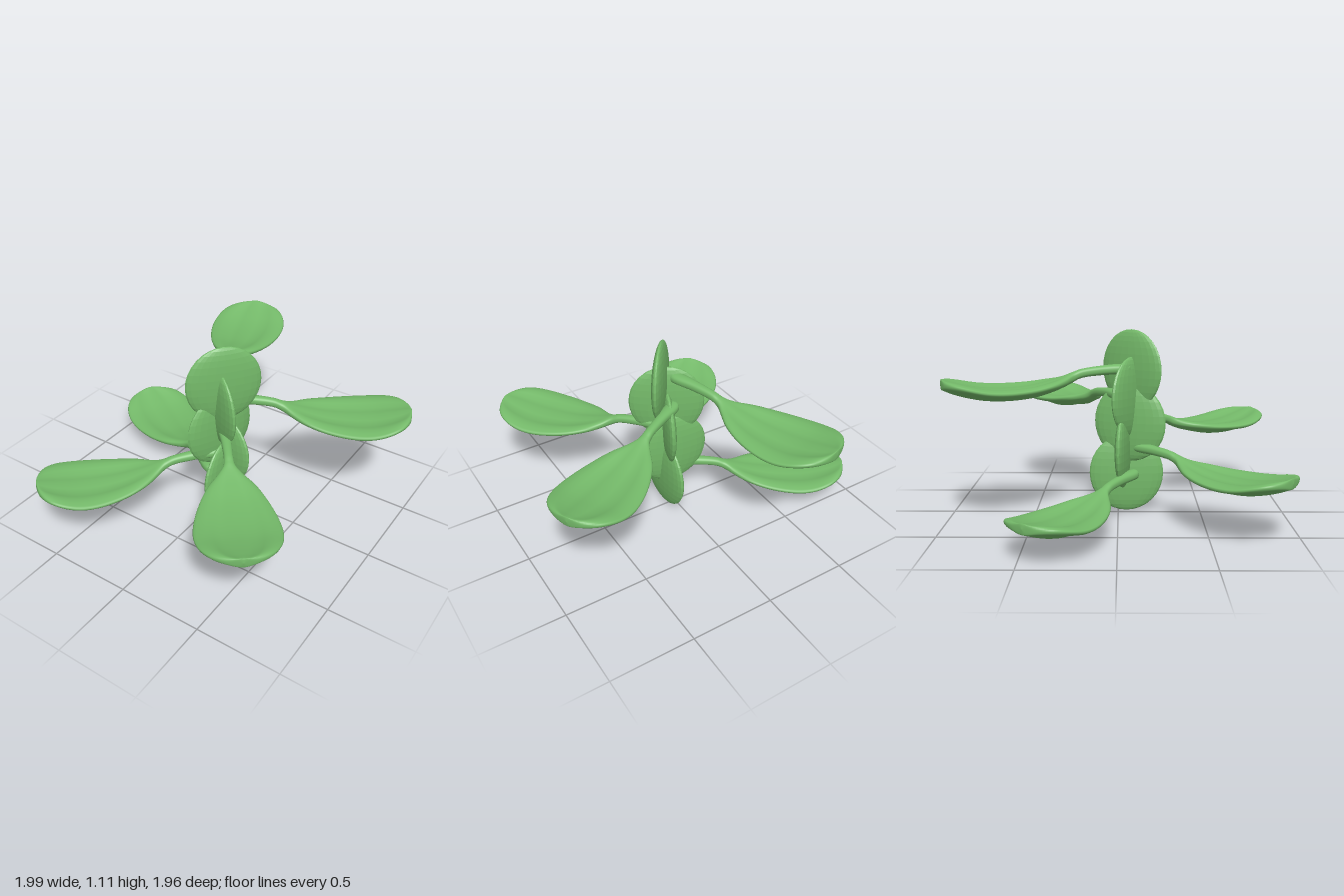
import * as THREE from 'three';

const green = new THREE.MeshStandardMaterial({ color: 0x74b969 });
const padGreen = new THREE.MeshStandardMaterial({ color: 0x74b969, flatShading: true });

// Leaf centreline: distance outwards, height, half width
const leafCurve = new THREE.CatmullRomCurve3([
  [-0.36, 0.01, 0], [-0.34, 0.01, 0.035], [-0.18, 0.005, 0.03], [-0.05, -0.01, 0.027],
  [0, -0.03, 0.035], [0.05, -0.05, 0.07], [0.13, -0.075, 0.13], [0.25, -0.1, 0.185],
  [0.4, -0.108, 0.224], [0.52, -0.1, 0.23], [0.62, -0.08, 0.205], [0.69, -0.06, 0.155],
  [0.73, -0.045, 0.085], [0.745, -0.04, 0],
].map(p => new THREE.Vector3(...p)), false, 'centripetal');

// Spoon-shaped leaf with its stalk, lofted along +x
function leafGeometry(rows = 72, sides = 32) {
  const pos = [], index = [];
  for (let i = 0; i <= rows; i++) {
    const p = leafCurve.getPoint(i / rows);
    const w = Math.max(p.z, 0);
    const t = 0.03 * Math.sqrt(Math.min(1, w / 0.035));
    const spread = THREE.MathUtils.smoothstep(w, 0.04, 0.22);
    for (let j = 0; j < sides; j++) {
      const a = (j / sides) * Math.PI * 2;
      const v = Math.cos(a), s = Math.sin(a);
      const lens = Math.sign(s) * Math.abs(s) ** 0.8 * t;
      const cup = spread * (0.03 * v * v + 0.006 * Math.cos(v * Math.PI * 3));
      pos.push(p.x, p.y + lens + cup, w * v);
      if (i < rows) {
        const k = i * sides + j, m = i * sides + (j + 1) % sides;
        index.push(k, k + sides, m + sides, k, m + sides, m);
      }
    }
  }
  const g = new THREE.BufferGeometry();
  g.setAttribute('position', new THREE.Float32BufferAttribute(pos, 3));
  g.setIndex(index);
  g.computeVertexNormals();
  return g;
}

export function createModel() {
  const model = new THREE.Group();
  model.name = 'plant';
  const leaf = leafGeometry();
  const pad = new THREE.SphereGeometry(1, 24, 16).scale(0.225, 0.236, 0.04);

  // Per tier, from the bottom: pad centre x, z and leaf neck x, z
  const tiers = [
    [0.045, 0.05, -0.33, -0.08],
    [0, 0.035, -0.2, 0.35],
    [0.01, 0.07, 0.25, 0.325],
    [0.005, 0.08, 0.3, -0.165],
    [0.045, 0.08, -0.145, -0.265],
  ];
  tiers.forEach(([px, pz, lx, lz], k) => {
    const y = 0.237 + 0.159 * k;
    const turn = THREE.MathUtils.degToRad(80 * k);

    // Upright flat stem pad
    const p = new THREE.Mesh(pad, padGreen);
    p.name = 'stemPad' + (k + 1);
    p.position.set(px, y, pz);
    p.rotation.y = turn - Math.PI / 2;
    model.add(p);

    // Leaf spiralling around the stem
    const l = new THREE.Mesh(leaf, green);
    l.name = 'leaf' + (k + 1);
    l.position.set(lx, y, lz);
    l.rotation.y = turn - THREE.MathUtils.degToRad(211);
    model.add(l);
  });
  return model;
}
